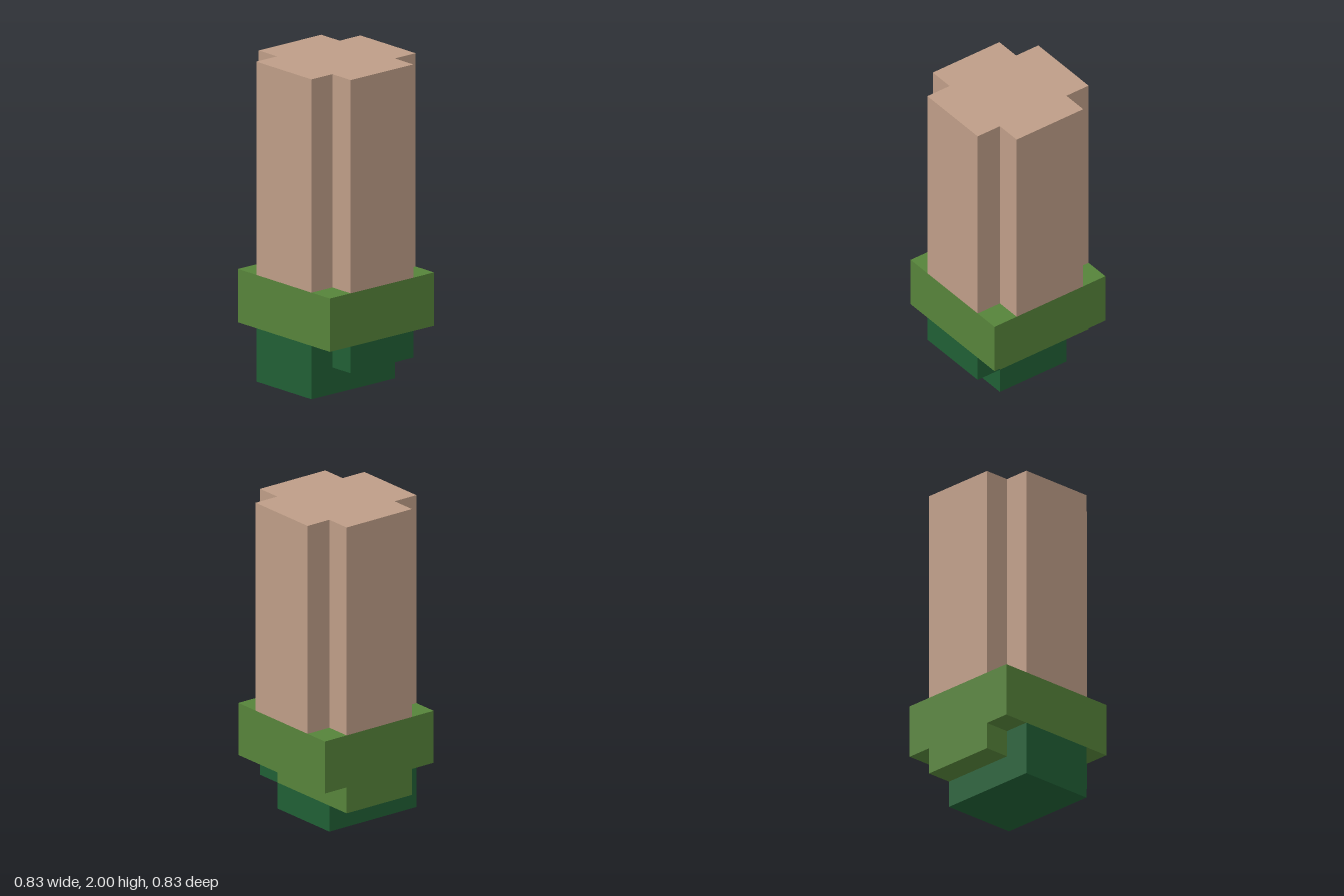
import * as THREE from 'three';

const U = 1 / 12; // module of the block grid
const material = (name, color) => {
  const m = new THREE.MeshStandardMaterial({ color });
  m.name = name;
  return m;
};

// Box given by its lower and upper corners, in grid units
function block(name, mat, [x0, y0, z0], [x1, y1, z1]) {
  const geo = new THREE.BoxGeometry((x1 - x0) * U, (y1 - y0) * U, (z1 - z0) * U);
  const mesh = new THREE.Mesh(geo, mat);
  mesh.position.set((x0 + x1) / 2, (y0 + y1) / 2, (z0 + z1) / 2).multiplyScalar(U);
  mesh.name = name;
  return mesh;
}

// Outline in grid units, extruded to a flat-sided prism
function prism(points, depth) {
  const shape = new THREE.Shape(points.map(([x, y]) => new THREE.Vector2(x * U, y * U)));
  return new THREE.ExtrudeGeometry(shape, { depth: depth * U, bevelEnabled: false });
}

export function createModel() {
  const group = new THREE.Group();
  const bark = material('tan', 0xbe9d87);
  const leaf = material('leaf green', 0x56833a);
  const darkLeaf = material('dark green', 0x205f35);

  // Tall column with a cross-shaped section
  const cross = [[-3, -5], [3, -5], [3, -3], [5, -3], [5, 3], [3, 3],
    [3, 5], [-3, 5], [-3, 3], [-5, 3], [-5, -3], [-3, -3]];
  const column = new THREE.Mesh(prism(cross, 16).rotateX(-Math.PI / 2), bark);
  column.position.y = 8 * U;
  column.name = 'column';
  group.add(column);

  // Square collar under the column
  group.add(block('collar', leaf, [-5, 4, -5], [5, 8, 5]));

  // Stepped foot: (z, y) profile, taller at the front
  const step = [[-3, 0], [5, 0], [5, 4], [3, 4], [3, 2], [-3, 2]];
  const foot = new THREE.Mesh(prism(step, 6).translate(0, 0, -3 * U).rotateY(-Math.PI / 2), darkLeaf);
  foot.name = 'foot';
  group.add(foot);

  // Blocks between the foot and the collar
  group.add(block('innerBlock', leaf, [-5, 2, -3], [3, 4, 3]));
  group.add(block('sideBlock', darkLeaf, [3, 2, -3], [5, 4, 3]));

  return group;
}
